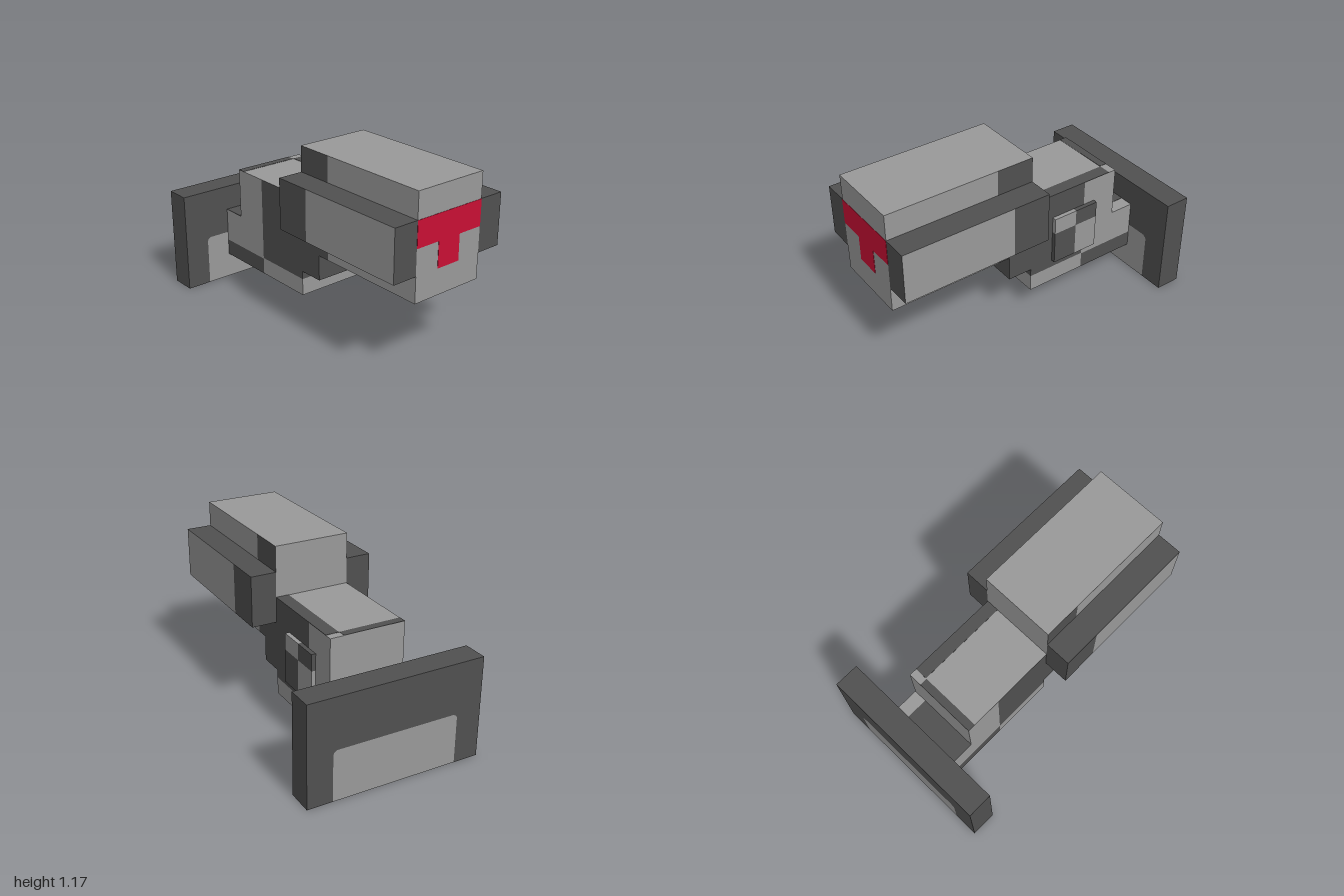
import * as THREE from 'three';

const lightGrey = new THREE.MeshStandardMaterial({ color: 0x999999 });
lightGrey.name = 'light grey';
const darkGrey = new THREE.MeshStandardMaterial({ color: 0x505050 });
darkGrey.name = 'dark grey';
const red = new THREE.MeshStandardMaterial({ color: 0xc90f34 });
red.name = 'red';

const L = lightGrey, D = darkGrey;

// Box from its limits; material may be an array in the order +x, -x, +y, -y, +z, -z
function box(parent, name, [x0, x1], [y0, y1], [z0, z1], material) {
  const mesh = new THREE.Mesh(new THREE.BoxGeometry(x1 - x0, y1 - y0, z1 - z0), material);
  mesh.position.set((x0 + x1) / 2, (y0 + y1) / 2, (z0 + z1) / 2);
  mesh.name = name;
  parent.add(mesh);
}

// Extruded outline placed with its back at z
function slab(parent, name, points, z, depth, material) {
  const shape = new THREE.Shape(points.map(([x, y]) => new THREE.Vector2(x, y)));
  const mesh = new THREE.Mesh(new THREE.ExtrudeGeometry(shape, { depth, bevelEnabled: false }), material);
  mesh.position.z = z;
  mesh.name = name;
  parent.add(mesh);
}

export function createModel() {
  const model = new THREE.Group();
  model.name = 'blaster';
  const W = [-0.25, 0.25];

  // Barrel with dark rear side bands
  box(model, 'barrelFront', W, [0.5, 1.167], [0.25, 1], L);
  box(model, 'barrelRear', W, [0.5, 1.167], [0, 0.25], [D, D, L, L, L, L]);

  // Red T mark on the muzzle
  slab(model, 'muzzleMark', [
    [-0.25, 1], [-0.25, 0.833], [-0.083, 0.833], [-0.083, 0.667],
    [0.083, 0.667], [0.083, 0.833], [0.25, 0.833], [0.25, 1],
  ], 0.998, 0.004, red);

  // Side rails
  for (const s of [1, -1]) {
    const x = s > 0 ? [0.25, 0.417] : [-0.417, -0.25];
    const outer = s > 0 ? [L, D, D, D, D, D] : [D, L, D, D, D, D];
    box(model, 'railFront', x, [0.667, 1], [0.25, 1], outer);
    box(model, 'railRear', x, [0.667, 1], [0, 0.25], D);
  }

  // Block under the barrel
  box(model, 'underBlock', W, [0.333, 0.5], [0, 0.167], D);

  // Receiver, upper half
  box(model, 'receiverFront', W, [0.28, 0.833], [-0.417, 0], [D, D, L, D, D, D]);
  box(model, 'receiverRear', W, [0.5, 0.833], [-0.667, -0.417], L);
  box(model, 'topSideStripe', [0.165, 0.25], [0.831, 0.835], [-0.615, 0], D);
  box(model, 'topRearStripe', [-0.25, 0.16], [0.831, 0.835], [-0.667, -0.615], D);

  // Receiver, lower half
  box(model, 'lowerFront', W, [0.167, 0.28], [-0.417, 0], [L, L, L, D, L, L]);
  box(model, 'neck', W, [0.275, 0.5], [-0.833, -0.417], L);
  box(model, 'neckBase', W, [0.167, 0.275], [-0.833, -0.417], D);
  box(model, 'neckTopPanel', [-0.25, 0.16], [0.498, 0.502], [-0.833, -0.667], D);

  // Chequered side panel
  const px = [0.25, 0.278];
  box(model, 'sidePanelUpperFront', px, [0.557, 0.667], [-0.333, -0.167], L);
  box(model, 'sidePanelUpperRear', px, [0.557, 0.667], [-0.5, -0.333], D);
  box(model, 'sidePanelLowerFront', px, [0.333, 0.557], [-0.333, -0.167], D);
  box(model, 'sidePanelLowerRear', px, [0.333, 0.557], [-0.5, -0.333], L);

  // Stock plate: dark arch around a light insert
  const insert = [
    [-0.417, 0], [-0.417, 0.308], [-0.411, 0.321], [-0.392, 0.333],
    [0.392, 0.333], [0.411, 0.321], [0.417, 0.308], [0.417, 0],
  ];
  const arch = [[-0.583, 0], ...insert, [0.583, 0], [0.583, 0.667], [-0.583, 0.667]];
  slab(model, 'stockFrame', arch, -1, 0.167, D);
  slab(model, 'stockInsert', insert, -1, 0.167, L);

  return model;
}
